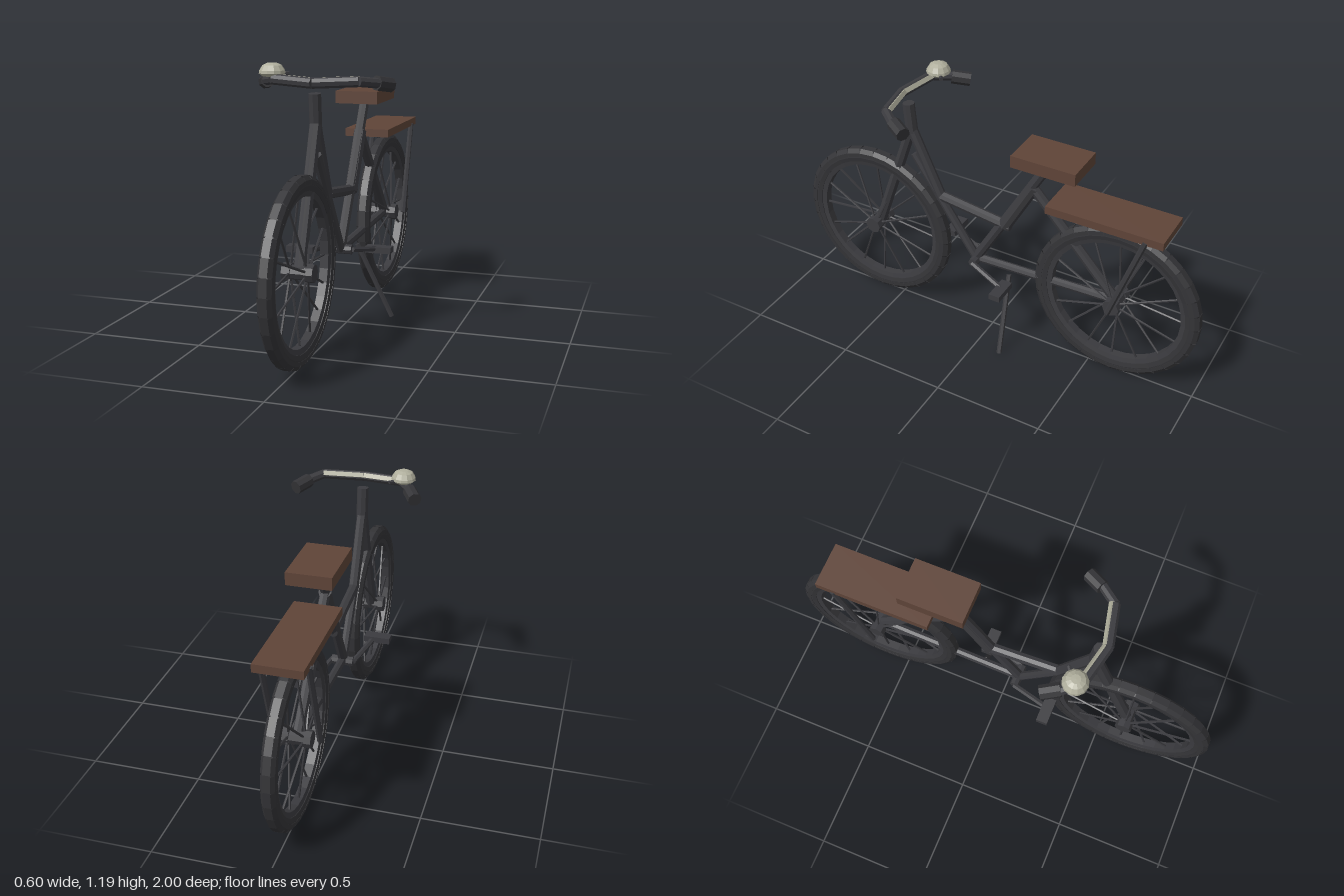
import * as THREE from 'three';
import { mergeGeometries } from 'three/addons/utils/BufferGeometryUtils.js';

const mat = (name, color, side = THREE.FrontSide) => {
  const m = new THREE.MeshStandardMaterial({ color, side });
  m.name = name;
  return m;
};

// Facet a geometry so every face has its own normal
function facet(geo) {
  const g = geo.index ? geo.toNonIndexed() : geo;
  g.computeVertexNormals();
  return g;
}

const V = (p) => new THREE.Vector3(...p);

// Straight faceted tube between two points
function rod(a, b, r, sides = 8, rEnd = r) {
  const start = V(a), dir = V(b).sub(start);
  const g = new THREE.CylinderGeometry(rEnd, r, dir.length(), sides);
  g.translate(0, dir.length() / 2, 0);
  g.applyQuaternion(new THREE.Quaternion().setFromUnitVectors(new THREE.Vector3(0, 1, 0), dir.normalize()));
  g.translate(start.x, start.y, start.z);
  return facet(g);
}

// Ring around the x axis from a closed (radius, width) profile
function ring(profile, segments, start = 0, length = Math.PI * 2) {
  const pts = [...profile, profile[0]].map(([r, w]) => new THREE.Vector2(r, w));
  return facet(new THREE.LatheGeometry(pts, segments, start, length).rotateZ(Math.PI / 2));
}

export function createModel() {
  const metal = mat('dark metal', 0x3b3b3f);
  const rubber = mat('black rubber', 0x343437, THREE.DoubleSide);
  const leather = mat('brown leather', 0x5f4438);
  const cream = mat('cream metal', 0xb0af9d);

  const bike = new THREE.Group();
  bike.name = 'bicycle';
  const add = (parent, name, geo, material) => {
    const m = new THREE.Mesh(geo, material);
    m.name = name;
    parent.add(m);
    return m;
  };
  const box = (name, size, pos, material) =>
    add(bike, name, new THREE.BoxGeometry(...size).translate(...pos), material);
  // Tube in the centre plane, given as (y, z) pairs
  const frame = (name, [y1, z1], [y2, z2], r) =>
    add(bike, name, rod([0, y1, z1], [0, y2, z2], r), metal);

  // Wheels: tyre, tread blocks, rim, hub and laced spokes
  const count = 32, step = Math.PI * 2 / count, gap = 0.014;
  for (const [name, z] of [['frontWheel', 0.615], ['rearWheel', -0.61]]) {
    const wheel = new THREE.Group();
    wheel.name = name;
    wheel.position.set(0, 0.393, z);
    bike.add(wheel);
    add(wheel, 'tyre', ring([[0.325, -0.026], [0.345, -0.03], [0.365, -0.027], [0.374, -0.016],
      [0.374, 0.016], [0.365, 0.027], [0.345, 0.03], [0.325, 0.026]], count), rubber);
    const blocks = [];
    for (let i = 0; i < count; i++) {
      blocks.push(ring([[0.35, -0.031], [0.368, -0.03], [0.386, -0.016],
        [0.386, 0.016], [0.368, 0.03], [0.35, 0.031]], 1, i * step + gap / 2, step - gap));
    }
    add(wheel, 'tread', mergeGeometries(blocks), rubber);
    add(wheel, 'rim', ring([[0.303, -0.018], [0.33, -0.024], [0.33, 0.024], [0.303, 0.018]], count), metal);
    add(wheel, 'hub', rod([-0.04, 0, 0], [0.04, 0, 0], 0.03), metal);
    for (const s of [-1, 1]) {
      add(wheel, 'hubFlange', rod([s * 0.03, 0, 0], [s * 0.065, 0, 0], 0.038), metal);
    }
    const spokes = [];
    for (let i = 0; i < 16; i++) {
      const a = i * Math.PI / 8, c = Math.cos(a), s = Math.sin(a);
      spokes.push(rod([(i % 2 ? 1 : -1) * 0.035, 0.02 * c, 0.02 * s], [0, 0.31 * c, 0.31 * s], 0.0055, 5));
    }
    add(wheel, 'spokes', mergeGeometries(spokes), metal);
  }

  // Frame
  frame('fork', [0.393, 0.61], [0.96, 0.41], 0.026);
  frame('steeringStem', [0.94, 0.408], [1.08, 0.42], 0.027);
  frame('upperDownTube', [0.96, 0.41], [0.63, 0.262], 0.024);
  frame('downTube', [0.83, 0.4], [0.36, 0.085], 0.02);
  frame('crossTube', [0.645, 0.265], [0.598, -0.09], 0.024);
  frame('seatTube', [0.36, 0.09], [0.985, -0.27], 0.023);
  frame('seatTubeSleeve', [0.595, -0.06], [0.85, -0.2], 0.029);
  frame('seatStay', [0.85, -0.19], [0.393, -0.61], 0.023);
  frame('chainStay', [0.365, 0.09], [0.393, -0.61], 0.02);
  add(bike, 'bottomBracket', rod([-0.05, 0.362, 0.08], [0.05, 0.362, 0.08], 0.022), metal);

  // Cranks and pedals
  add(bike, 'rightCrank', rod([-0.05, 0.362, 0.08], [-0.1, 0.395, 0.25], 0.013, 6), metal);
  add(bike, 'leftCrank', rod([0.05, 0.362, 0.08], [0.105, 0.327, -0.1], 0.013, 6), metal);
  box('rightPedal', [0.12, 0.028, 0.052], [-0.12, 0.398, 0.265], metal);
  box('leftPedal', [0.12, 0.028, 0.052], [0.12, 0.325, -0.105], metal);

  // Kickstand
  add(bike, 'kickstand', rod([0.02, 0.345, -0.095], [0.175, 0.006, -0.13], 0.012, 6), metal);

  // Saddle and luggage rack
  box('saddle', [0.194, 0.056, 0.295], [0, 1.008, -0.282], leather);
  box('rackBoard', [0.206, 0.036, 0.525], [0, 0.827, -0.565], leather);
  for (const s of [-1, 1]) {
    add(bike, 'rackStrut', rod([s * 0.098, 0.393, -0.61], [s * 0.098, 0.82, -0.75], 0.013, 6), metal);
  }

  // Handlebar: centre span with a bright rear strip, swept ends, grips
  for (const s of [-1, 1]) {
    const mid = [0, 1.123, 0.452], bend = [s * 0.18, 1.131, 0.412], end = [s * 0.25, 1.118, 0.325];
    add(bike, 'handlebarCentre', rod(mid, bend, 0.022), metal);
    add(bike, 'handlebarSweep', rod(bend, end, 0.021), metal);
    add(bike, 'grip', rod([s * 0.232, 1.121, 0.34], [s * 0.272, 1.108, 0.268], 0.031), rubber);
    const strip = add(bike, 'handlebarStrip', new THREE.BoxGeometry(0.008, 0.02, 0.182), cream);
    strip.position.copy(V(mid).add(V(bend)).multiplyScalar(0.5)).add(V([0, 0.0105, -0.0185]));
    const along = V(bend).sub(V(mid)).normalize();
    const out = V([0, 0.5, -0.87]);
    out.addScaledVector(along, -out.dot(along)).normalize();
    strip.setRotationFromMatrix(new THREE.Matrix4().makeBasis(
      out, new THREE.Vector3().crossVectors(along, out), along));
  }

  // Bell with its thumb lever
  const dome = [[0, 0], [0.04, 0], [0.055, 0.012], [0.053, 0.024], [0.04, 0.045], [0.02, 0.054], [0, 0.055]]
    .map(([x, y]) => new THREE.Vector2(x, y));
  add(bike, 'bell', facet(new THREE.LatheGeometry(dome, 12).translate(-0.195, 1.141, 0.385)), cream);
  add(bike, 'bellLever', rod([-0.17, 1.15, 0.36], [-0.14, 1.15, 0.338], 0.009, 6), metal);

  return bike;
}
